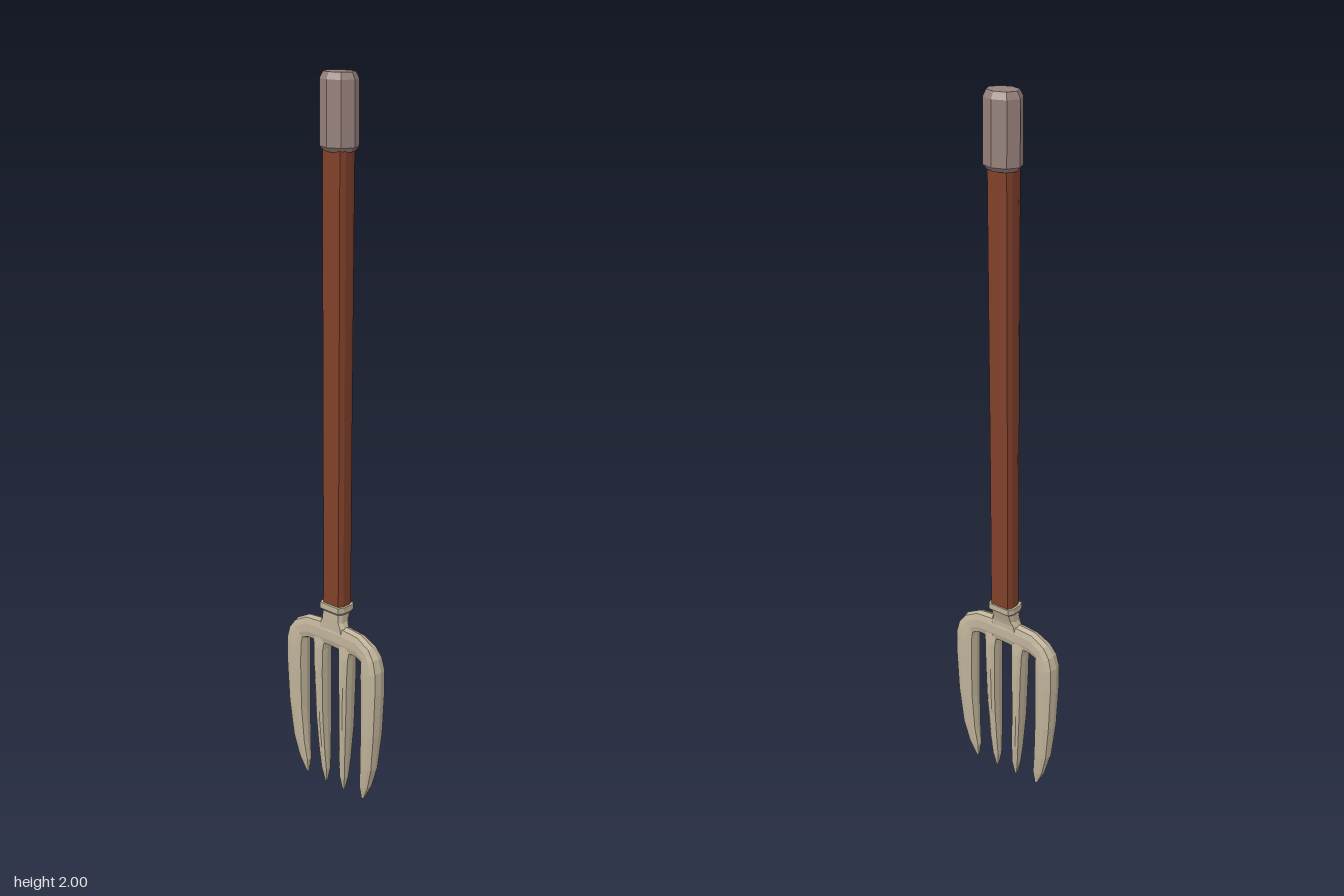
import * as THREE from 'three';

const material = (name, color) => {
  const m = new THREE.MeshStandardMaterial({ color });
  m.name = name;
  return m;
};

// Skin a list of equal-length point rings, cap both ends, keep facets flat
function loft(rings) {
  const tris = [];
  const n = rings[0].length;
  for (let i = 0; i + 1 < rings.length; i++) {
    for (let j = 0; j < n; j++) {
      const k = (j + 1) % n;
      const [a, b, c, d] = [rings[i][j], rings[i][k], rings[i + 1][k], rings[i + 1][j]];
      tris.push([a, b, c], [a, c, d]);
    }
  }
  const last = rings[rings.length - 1];
  for (let j = 1; j + 1 < n; j++) {
    tris.push([rings[0][0], rings[0][j + 1], rings[0][j]], [last[0], last[j], last[j + 1]]);
  }
  // Turn the faces outward if the enclosed volume comes out negative
  const mid = rings[0][0];
  let volume = 0;
  for (const t of tris) {
    const [a, b, c] = t.map((p) => p.clone().sub(mid));
    volume += a.dot(b.cross(c));
  }
  if (volume < 0) tris.forEach((t) => t.reverse());
  const geometry = new THREE.BufferGeometry().setFromPoints(tris.flat());
  geometry.computeVertexNormals();
  return geometry;
}

// Horizontal rings: each level is [y, centreX, halfX, halfZ]
const upright = (levels, outline) =>
  loft(levels.map(([y, cx, hx, hz]) =>
    outline.map(([u, v]) => new THREE.Vector3(cx + u * hx, y, v * hz))));

const HEAD_X = -0.018;
// Rounded bar outline: u runs across the tine, t through its thickness
const BAR = [[1, 0], [0.85, 0.75], [0.35, 1], [-0.35, 1], [-0.85, 0.75],
  [-1, 0], [-0.85, -0.75], [-0.35, -1], [0.35, -1], [0.85, -0.75]];

// Each section is [outerZ, outerY, innerZ, innerY, halfThickness]
const barLoft = (sections) =>
  loft(sections.map(([oz, oy, iz, iy, h]) =>
    BAR.map(([u, t]) => new THREE.Vector3(
      HEAD_X + t * h,
      (oy + iy) / 2 + u * (oy - iy) / 2,
      (oz + iz) / 2 + u * (oz - iz) / 2))));

const mirrorZ = (sections) => sections.map(([oz, oy, iz, iy, h]) => [-oz, oy, -iz, iy, h]);

export function createModel() {
  const group = new THREE.Group();
  group.name = 'gardenFork';
  const gripMat = material('dusty grip', 0x96807a);
  const woodMat = material('red brown wood', 0x80402a);
  const metalMat = material('pale metal', 0xbfb299);

  const add = (name, geometry, mat) => {
    const mesh = new THREE.Mesh(geometry, mat);
    mesh.name = name;
    group.add(mesh);
  };

  // Eight-sided grip with bevelled ends
  const octagon = Array.from({ length: 8 }, (_, i) =>
    [Math.cos(i * Math.PI / 4), Math.sin(i * Math.PI / 4)]);
  add('grip', upright([
    [1.803, 0, 0.036, 0.043], [1.815, 0, 0.046, 0.054],
    [1.982, 0, 0.046, 0.054], [2, 0, 0.037, 0.045],
  ], octagon), gripMat);

  // Flattened shaft, leaning very slightly
  const flatOctagon = [[1, 0.82], [0.45, 1], [-0.45, 1], [-1, 0.82],
    [-1, -0.82], [-0.45, -1], [0.45, -1], [1, -0.82]];
  add('shaft', upright([
    [0.55, -0.009, 0.025, 0.035], [1, -0.007, 0.025, 0.036], [1.81, -0.003, 0.027, 0.038],
  ], flatOctagon), woodMat);

  // Socket that narrows, then flares into the head
  add('socket', upright([
    [0.46, HEAD_X, 0.018, 0.055], [0.505, HEAD_X, 0.018, 0.046],
    [0.52, -0.016, 0.02, 0.037], [0.543, -0.011, 0.024, 0.036],
    [0.55, -0.01, 0.031, 0.042], [0.567, -0.01, 0.031, 0.042],
  ], flatOctagon), metalMat);

  // Shoulder and the two outer tines as one continuous arch
  const side = [
    [0.045, 0.508, 0.045, 0.435, 0.019], [0.1, 0.503, 0.092, 0.435, 0.018],
    [0.145, 0.48, 0.112, 0.428, 0.021], [0.167, 0.452, 0.112, 0.415, 0.024],
    [0.177, 0.415, 0.112, 0.39, 0.026], [0.177, 0.35, 0.113, 0.34, 0.026],
    [0.17, 0.22, 0.113, 0.21, 0.024], [0.157, 0.11, 0.108, 0.1, 0.018],
    [0.138, 0.045, 0.102, 0.04, 0.011], [0.115, 0.002, 0.107, 0, 0.003],
  ];
  add('shoulderAndOuterTines', barLoft([
    ...mirrorZ(side).reverse(), [0, 0.508, 0, 0.438, 0.02], ...side,
  ]), metalMat);

  // Inner tines, widened where they meet the shoulder
  const inner = [
    [0.076, 0.46, 0.022, 0.46, 0.017], [0.069, 0.42, 0.028, 0.42, 0.023],
    [0.066, 0.35, 0.029, 0.35, 0.025], [0.061, 0.21, 0.029, 0.21, 0.023],
    [0.053, 0.1, 0.026, 0.1, 0.017], [0.047, 0.04, 0.025, 0.04, 0.011],
    [0.038, 0, 0.032, 0, 0.003],
  ];
  add('innerTineLeft', barLoft(mirrorZ(inner)), metalMat);
  add('innerTineRight', barLoft(inner), metalMat);

  return group;
}
